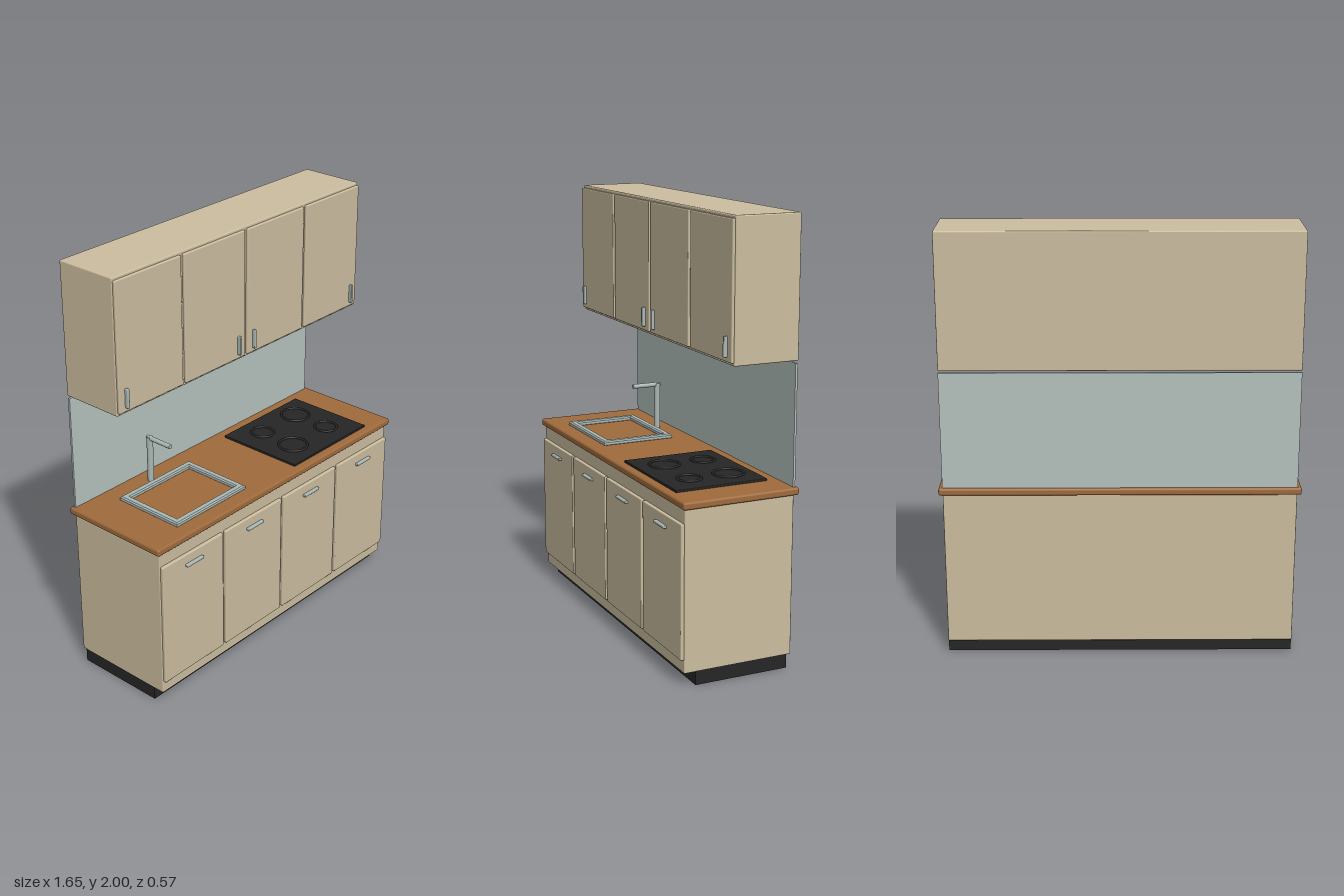
import * as THREE from 'three';
import { RoundedBoxGeometry } from 'three/addons/geometries/RoundedBoxGeometry.js';

const mat = (name, color) => {
  const m = new THREE.MeshStandardMaterial({ color });
  m.name = name;
  return m;
};

export function createModel() {
  const kitchen = new THREE.Group();
  kitchen.name = 'kitchenette';
  const cream = mat('cream cabinet', 0xcbbd9f);
  const wood = mat('wood worktop', 0x9f6a3c);
  const glass = mat('pale green glass', 0xb5c3be);
  const metal = mat('brushed metal', 0xa9b8b5);
  const black = mat('black', 0x262626);

  const add = (name, geometry, material, x = 0, y = 0, z = 0) => {
    const mesh = new THREE.Mesh(geometry, material);
    mesh.name = name;
    mesh.position.set(x, y, z);
    kitchen.add(mesh);
    return mesh;
  };
  // Box given by its extents, with optional rounded edges
  const box = (name, material, [x0, x1], [y0, y1], [z0, z1], r = 0) => {
    const s = [x1 - x0, y1 - y0, z1 - z0];
    const g = r ? new RoundedBoxGeometry(...s, 2, r) : new THREE.BoxGeometry(...s);
    return add(name, g, material, (x0 + x1) / 2, (y0 + y1) / 2, (z0 + z1) / 2);
  };

  // Carcasses, plinth, worktop and splashback
  box('plinth', black, [-0.805, 0.805], [0, 0.065], [-0.245, 0.2]);
  box('baseCabinet', cream, [-0.805, 0.805], [0.06, 0.795], [-0.267, 0.254], 0.005);
  box('worktop', wood, [-0.823, 0.823], [0.792, 0.826], [-0.285, 0.268], 0.01);
  box('splashback', glass, [-0.805, 0.805], [0.82, 1.367], [-0.272, -0.262]);
  box('wallCabinet', cream, [-0.805, 0.805], [1.377, 2], [-0.277, 0.03], 0.006);

  // Doors and handles
  const upperHandleX = [-0.76, -0.053, 0.047, 0.757];
  for (let i = 0; i < 4; i++) {
    const x = -0.606 + i * 0.404;
    const span = [x - 0.194, x + 0.194];
    box('lowerDoor', cream, span, [0.12, 0.727], [0.25, 0.269], 0.005);
    box('upperDoor', cream, span, [1.39, 1.987], [0.024, 0.042], 0.005);
    box('lowerHandle', metal, [x - 0.053, x + 0.053], [0.669, 0.682], [0.266, 0.284], 0.004);
    const hx = upperHandleX[i];
    box('upperHandle', metal, [hx - 0.007, hx + 0.007], [1.41, 1.5], [0.038, 0.058], 0.004);
  }

  // Sink rim: bevelled frame lying on the worktop
  const rect = (T, w, d) => {
    const p = new T();
    p.moveTo(-w, -d);
    p.lineTo(w, -d);
    p.lineTo(w, d);
    p.lineTo(-w, d);
    p.closePath();
    return p;
  };
  const rim = rect(THREE.Shape, 0.219, 0.171);
  rim.holes.push(rect(THREE.Path, 0.197, 0.149));
  const rimGeometry = new THREE.ExtrudeGeometry(rim, {
    depth: 0.012, bevelEnabled: true, bevelSize: 0.006, bevelThickness: 0.006, bevelSegments: 1,
  });
  rimGeometry.rotateX(-Math.PI / 2);
  add('sinkRim', rimGeometry, metal, -0.405, 0.828, 0.018);

  // Tap
  add('tapColumn', new THREE.CylinderGeometry(0.015, 0.015, 0.228, 20), metal, -0.405, 0.938, -0.186);
  const spout = add('tapSpout', new THREE.CylinderGeometry(0.011, 0.011, 0.145, 20), metal, -0.405, 1.045, -0.128);
  spout.rotation.x = Math.PI / 2;

  // Hob with four raised rings
  box('hob', black, [0.13, 0.67], [0.824, 0.836], [-0.212, 0.23], 0.003);
  const rings = [[0.277, 0.098, 0.075], [0.527, 0.098, 0.06], [0.277, -0.095, 0.06], [0.527, -0.095, 0.075]];
  for (const [x, z, r] of rings) {
    const ring = add('hobRing', new THREE.TorusGeometry(r - 0.006, 0.006, 8, 40), black, x, 0.838, z);
    ring.rotation.x = Math.PI / 2;
  }
  return kitchen;
}
